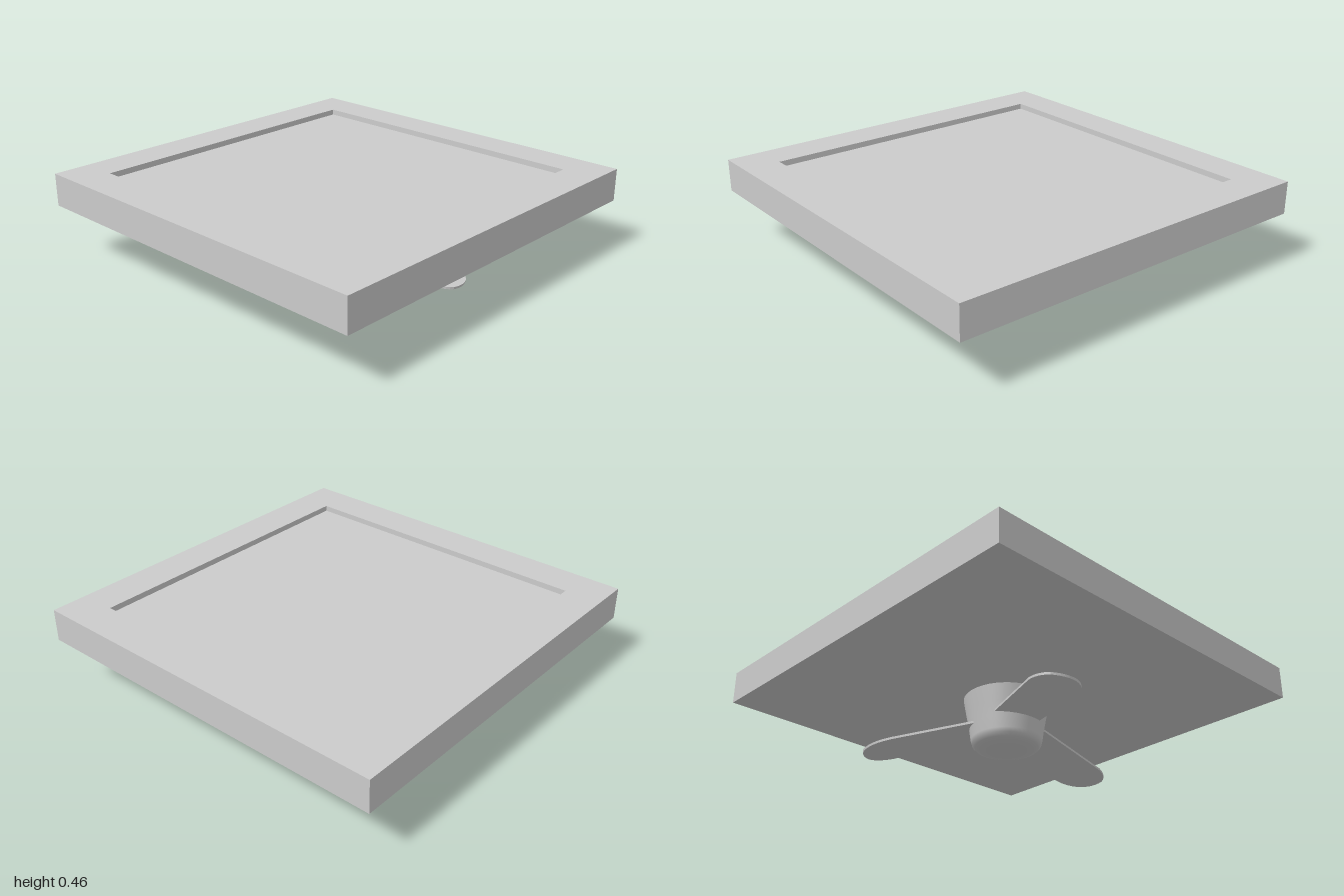
import * as THREE from 'three';

const material = new THREE.MeshStandardMaterial({ color: 0xcccccc });

function part(name, geometry, y = 0) {
  const mesh = new THREE.Mesh(geometry, material);
  mesh.name = name;
  mesh.position.y = y;
  return mesh;
}

function square(target, h) {
  target.moveTo(-h, -h);
  target.lineTo(h, -h);
  target.lineTo(h, h);
  target.lineTo(-h, h);
  target.closePath();
  return target;
}

// Thin plank with a blunt rounded tip, lying along +x with its root at x = 0
function bladeGeometry() {
  const s = new THREE.Shape();
  s.moveTo(0, -0.12);
  s.lineTo(0.44, -0.135);
  s.quadraticCurveTo(0.55, -0.13, 0.6, -0.06);
  s.quadraticCurveTo(0.635, 0.0, 0.61, 0.07);
  s.quadraticCurveTo(0.58, 0.12, 0.5, 0.13);
  s.lineTo(0, 0.12);
  s.closePath();
  const g = new THREE.ExtrudeGeometry(s, { depth: 0.012, bevelEnabled: false, curveSegments: 6 });
  g.rotateX(Math.PI / 2);
  return g;
}

export function createModel() {
  const model = new THREE.Group();
  model.name = 'ceilingFan';

  // Ceiling slab: raised border around a shallow sunken panel
  const border = square(new THREE.Shape(), 1);
  border.holes.push(square(new THREE.Path(), 0.807));
  const frame = new THREE.ExtrudeGeometry(border, { depth: 0.17, bevelEnabled: false });
  frame.rotateX(-Math.PI / 2);
  model.add(part('ceilingBorder', frame, 0.29));
  model.add(part('ceilingPanel', new THREE.BoxGeometry(1.614, 0.14, 1.614), 0.36));

  // Tapered motor housing with a rounded base
  const profile = [
    [0, 0], [0.07, 0.003], [0.13, 0.011], [0.16, 0.022], [0.175, 0.038],
    [0.181, 0.06], [0.19, 0.12], [0.205, 0.2], [0.22, 0.283],
  ].map(([r, y]) => new THREE.Vector2(r, y));
  model.add(part('motorHousing', new THREE.LatheGeometry(profile, 48)));
  const cap = new THREE.CircleGeometry(0.22, 48);
  cap.rotateX(-Math.PI / 2);
  model.add(part('motorTop', cap, 0.283));

  // Three drooping blades: direction in degrees, root height, droop
  const blade = bladeGeometry();
  [[-7, 0.143, 0.15], [113, 0.15, 0.115], [233, 0.138, 0.15]].forEach(([angle, y, droop]) => {
    const arm = new THREE.Group();
    arm.name = 'bladeArm';
    arm.rotation.y = -THREE.MathUtils.degToRad(angle);
    const mesh = part('blade', blade, y);
    mesh.position.x = 0.135;
    mesh.rotation.set(-0.05, 0, -droop);
    arm.add(mesh);
    model.add(arm);
  });

  return model;
}
